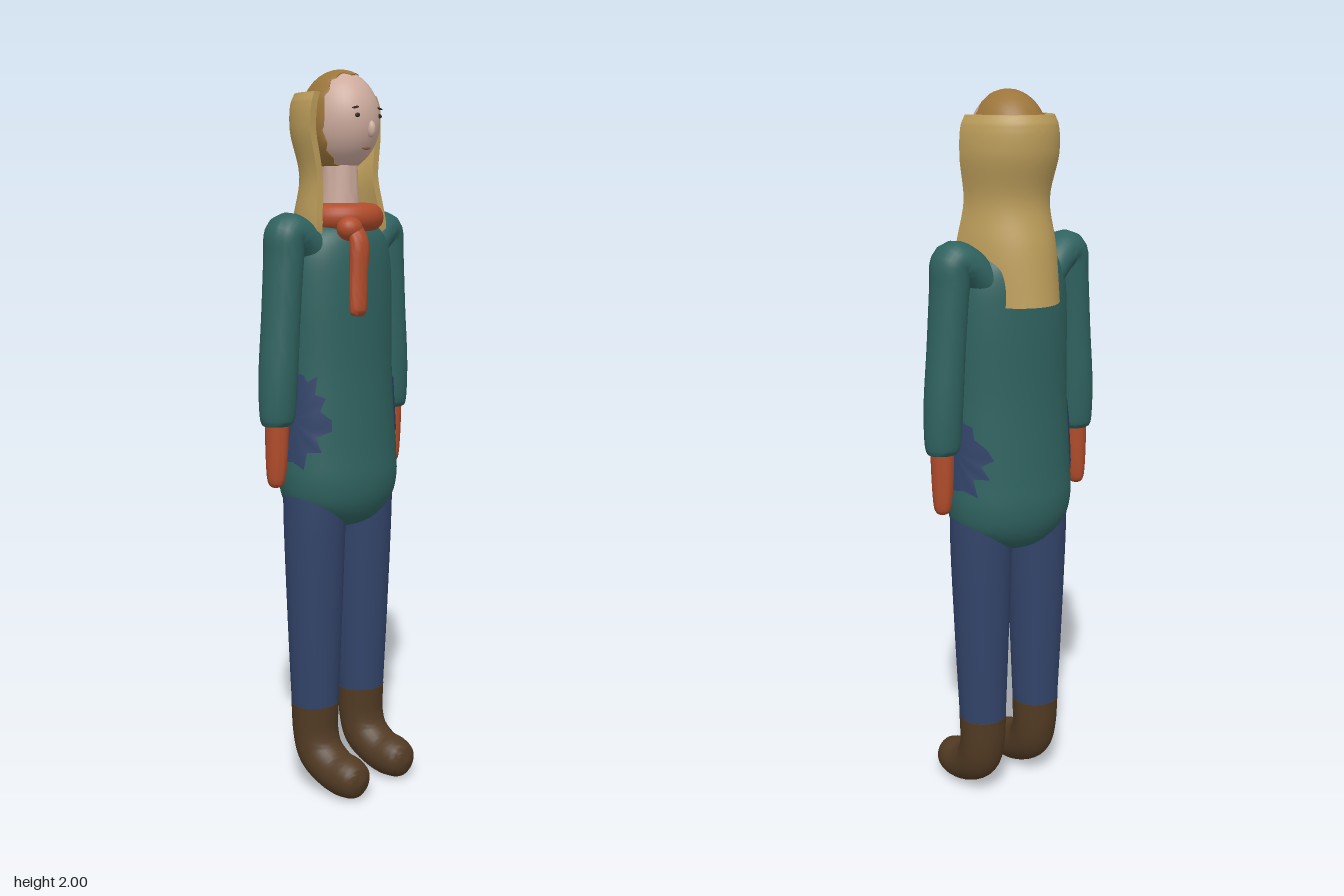
import * as THREE from 'three';
import { toCreasedNormals } from 'three/addons/utils/BufferGeometryUtils.js';

const V = (x, y, z) => new THREE.Vector3(x, y, z);
const mat = (name, hex, extra = {}) => {
  const m = new THREE.MeshStandardMaterial({ color: hex, ...extra });
  m.name = name;
  return m;
};

// Skin a list of equal-sized closed rings, closing both ends with strips.
function loft(rings) {
  const n = rings[0].length, last = (rings.length - 1) * n, index = [];
  for (let i = 0; i < rings.length - 1; i++)
    for (let j = 0; j < n; j++) {
      const a = i * n + j, b = i * n + (j + 1) % n;
      index.push(a, b, a + n, b, b + n, a + n);
    }
  for (let j = 0; j < n / 2 - 1; j++) {
    const a = j, b = j + 1, c = n - 2 - j, d = n - 1 - j;
    index.push(a, c, b, a, d, c);
    index.push(last + a, last + b, last + c, last + a, last + c, last + d);
  }
  const g = new THREE.BufferGeometry().setFromPoints(rings.flat());
  g.setIndex(index);
  return toCreasedNormals(g, 0.9);
}

// Sweep an ellipse along points [x, y, z, radius across, radius along w].
function sweep(points, w, steps = 30, sides = 32) {
  const path = new THREE.CatmullRomCurve3(points.map(p => V(p[0], p[1], p[2])), false, 'catmullrom');
  const radii = new THREE.CatmullRomCurve3(points.map(p => V(p[3], p[4], 0)), false, 'catmullrom');
  const rings = [];
  for (let i = 0; i <= steps; i++) {
    const c = path.getPoint(i / steps), r = radii.getPoint(i / steps);
    const u = w.clone().cross(path.getTangent(i / steps)).normalize();
    rings.push(Array.from({ length: sides }, (_, j) => {
      const a = j / sides * Math.PI * 2;
      return c.clone().addScaledVector(u, r.x * Math.cos(a)).addScaledVector(w, r.y * Math.sin(a));
    }));
  }
  return loft(rings);
}

export function createModel() {
  const group = new THREE.Group();
  const green = mat('sweaterGreen', 0x2f625f);
  const blue = mat('trouserBlue', 0x33446a, { side: THREE.DoubleSide });
  const brown = mat('bootBrown', 0x513a23);
  const rust = mat('scarfRust', 0xb04c2b);
  const tan = mat('hoodTan', 0xbb9c5a);
  const hairTone = mat('hairBrown', 0x9c753a);
  const skin = mat('skin', 0xcdab9d);
  const dark = mat('faceDark', 0x3a2c26);
  const lip = mat('lip', 0x9a6a5c);
  const X = V(1, 0, 0), Z = V(0, 0, 1);
  const add = (name, geo, material, x = 0, y = 0, z = 0) => {
    const m = new THREE.Mesh(geo, material);
    m.name = name;
    m.position.set(x, y, z);
    group.add(m);
    return m;
  };
  const ball = (name, material, p, s, tilt = 0) => {
    const m = add(name, new THREE.SphereGeometry(1, 20, 14), material, ...p);
    m.scale.set(...s);
    m.rotation.z = tilt;
    return m;
  };

  // Long sweater body
  const torso = [
    [0.755, 0.02, 0.02], [0.78, 0.1, 0.09], [0.83, 0.168, 0.128], [0.9, 0.19, 0.142],
    [1.0, 0.187, 0.135], [1.2, 0.176, 0.123], [1.4, 0.175, 0.121], [1.52, 0.165, 0.115],
    [1.58, 0.13, 0.098], [1.61, 0.06, 0.06],
  ];
  add('sweater', sweep(torso.map(([y, rx, rz]) => [0, y, -0.017, rx, rz]), Z, 54, 48), green);

  for (const s of [1, -1]) {
    const side = s > 0 ? 'left' : 'right';
    // Sleeve and mitten
    add(side + 'Sleeve', sweep([
      [0.1 * s, 1.51, -0.025, 0.05, 0.075], [0.15 * s, 1.56, -0.025, 0.05, 0.068],
      [0.193 * s, 1.57, -0.025, 0.054, 0.06], [0.203 * s, 1.5, -0.025, 0.05, 0.057],
      [0.215 * s, 1.35, -0.025, 0.05, 0.054], [0.226 * s, 1.2, -0.025, 0.052, 0.053],
      [0.23 * s, 1.09, -0.025, 0.049, 0.046], [0.23 * s, 1.068, -0.025, 0.038, 0.035],
    ], Z, 40), green);
    add(side + 'Mitten', sweep([
      [0.232 * s, 1.1, -0.025, 0.032, 0.034], [0.233 * s, 1.0, -0.026, 0.029, 0.032],
      [0.235 * s, 0.93, -0.027, 0.024, 0.027], [0.236 * s, 0.905, -0.027, 0.017, 0.019],
      [0.236 * s, 0.898, -0.027, 0.004, 0.004],
    ], Z, 20, 24), rust);

    // Trouser leg and boot
    add(side + 'Leg', sweep([
      [0.095 * s, 0.95, -0.017, 0.085, 0.088], [0.098 * s, 0.8, -0.016, 0.087, 0.086],
      [0.098 * s, 0.5, -0.017, 0.077, 0.076], [0.097 * s, 0.25, -0.018, 0.067, 0.066],
    ], Z, 16), blue);
    add(side + 'Boot', sweep([
      [0.097 * s, 0.255, -0.018, 0.067, 0.068], [0.097 * s, 0.17, -0.016, 0.063, 0.066],
      [0.097 * s, 0.11, 0.004, 0.064, 0.064], [0.097 * s, 0.072, 0.06, 0.06, 0.06],
      [0.097 * s, 0.063, 0.115, 0.058, 0.057], [0.097 * s, 0.063, 0.152, 0.044, 0.043],
      [0.097 * s, 0.063, 0.168, 0.008, 0.008],
    ], X, 36), brown);

    // Ragged blue hip patch that follows the sweater
    const pts = [], index = [], n = 28, rows = 4;
    for (let k = 0; k <= rows; k++)
      for (let j = 0; j < n; j++) {
        const a = j / n * Math.PI * 2 * s;
        const r = k / rows * (0.9 + 0.13 * Math.sin(j * 2.7) + 0.06 * Math.cos(j * 1.3));
        const y = 1.08 + 0.14 * r * Math.sin(a);
        const z = -0.012 + (0.095 - 0.25 * (y - 1.08)) * r * Math.cos(a) + 0.15 * (y - 1.08);
        const f = (y - 0.95) / 0.27, q = (z + 0.017) / (0.139 - 0.016 * f);
        pts.push(V(s * ((0.189 - 0.013 * f) * Math.sqrt(Math.max(0, 1 - q * q)) + 0.005), y, z));
        if (k < rows) {
          const p = k * n + j, b = k * n + (j + 1) % n;
          index.push(p, b, p + n, b, b + n, p + n);
        }
      }
    const patch = new THREE.BufferGeometry().setFromPoints(pts);
    patch.setIndex(index);
    patch.computeVertexNormals();
    add(side + 'HipPatch', patch, blue);
  }

  // Neck and head
  add('neck', sweep([
    [0, 1.57, -0.015, 0.062, 0.06], [0, 1.66, -0.012, 0.052, 0.052], [0, 1.8, -0.008, 0.042, 0.046],
  ], Z, 10), skin);
  const head = { y: 1.867, z: -0.01, rx: 0.1, ry: 0.13, rz: 0.113 };
  const skull = add('head', new THREE.SphereGeometry(1, 40, 28), skin, 0, head.y, head.z);
  skull.scale.set(head.rx, head.ry, head.rz);

  // Hair cap with a ragged front edge and a short fringe
  const hairRings = [];
  for (let k = 0; k <= 14; k++)
    hairRings.push(Array.from({ length: 48 }, (_, j) => {
      const phi = j / 48 * Math.PI * 2;
      const fringe = Math.max(0, Math.sin(phi)) ** 24 * 0.22;
      const edge = 1.82 + fringe + 0.05 * Math.sin(j * 2.1);
      const t = edge * Math.max(k / 14, 0.01);
      return V(head.rx * Math.sin(t) * Math.cos(phi), head.ry * Math.sin(t) * Math.sin(phi),
        -head.rz * Math.cos(t)).multiplyScalar(1.022);
    }));
  add('hair', loft(hairRings), hairTone, 0, head.y, head.z);

  // Facial features
  const face = (x, y) => [x, y, head.z + head.rz *
    Math.sqrt(1 - (x / head.rx) ** 2 - ((y - head.y) / head.ry) ** 2)];
  for (const s of [1, -1]) {
    ball('eye', dark, face(0.043 * s, 1.877), [0.009, 0.006, 0.004]);
    ball('eyebrow', dark, face(0.045 * s, 1.897), [0.014, 0.003, 0.005], -0.15 * s);
  }
  ball('nose', skin, face(0, 1.842), [0.011, 0.022, 0.013]);
  ball('mouth', lip, face(0, 1.795), [0.017, 0.006, 0.004]);

  // Open-fronted drape: rows of [y, half width, back z, front z]
  const drapeCurve = [
    [1.455, 0.138, -0.168, 0.03], [1.6, 0.138, -0.146, 0.035], [1.72, 0.122, -0.12, 0.02],
    [1.84, 0.139, -0.149, 0.013], [1.91, 0.134, -0.15, 0.014], [1.937, 0.122, -0.14, 0.012],
  ];
  const outline = new THREE.CatmullRomCurve3(drapeCurve.map(([y, rx, b]) => V(rx, y, b)));
  const drape = [];
  for (let i = 0; i <= 30; i++) {
    const p = outline.getPoint(i / 30), f = i / 30 * 5, k = Math.min(4, Math.floor(f));
    const front = THREE.MathUtils.lerp(drapeCurve[k][3], drapeCurve[k + 1][3], f - k);
    const arc = inset => Array.from({ length: 33 }, (_, j) => {
      const a = j / 32 * Math.PI;
      return V((p.x - inset) * Math.cos(a), p.y, front - (front - p.z - inset) * Math.sin(a));
    });
    drape.push([...arc(0), ...arc(0.022).reverse()]);
  }
  add('headDrape', loft(drape), tan);

  // Scarf ring, knot and hanging tail
  add('scarfRing', new THREE.TorusGeometry(0.08, 0.038, 20, 48).rotateX(Math.PI / 2), rust, 0, 1.613, -0.01);
  ball('scarfKnot', rust, [-0.066, 1.585, 0.085], [0.036, 0.032, 0.034]);
  add('scarfTail', sweep([
    [-0.055, 1.6, 0.09, 0.02, 0.018], [-0.058, 1.55, 0.112, 0.03, 0.022],
    [-0.066, 1.46, 0.117, 0.028, 0.02], [-0.073, 1.375, 0.122, 0.027, 0.018],
    [-0.074, 1.358, 0.122, 0.018, 0.01],
  ], Z, 24, 24), rust);

  return group;
}
